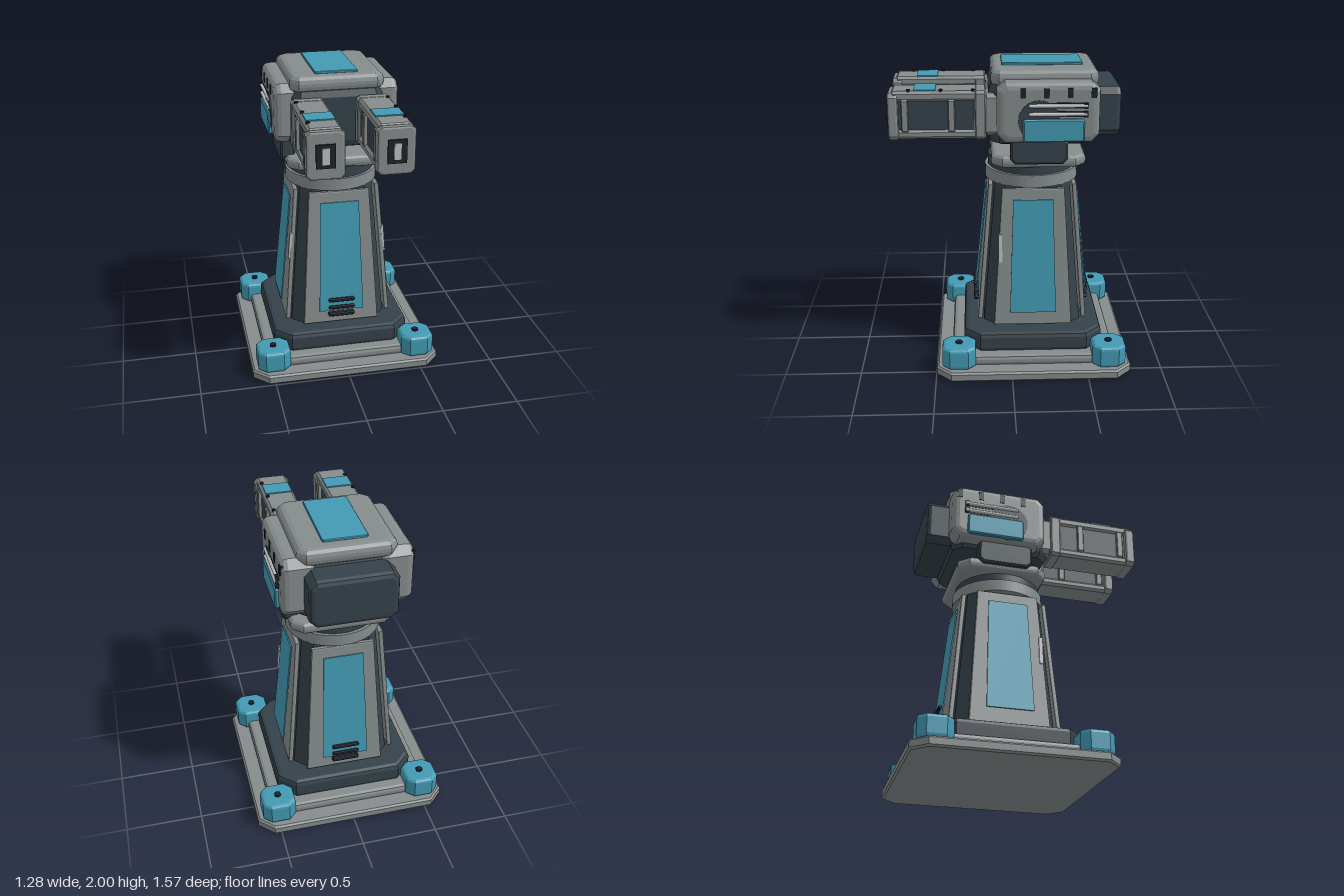
import * as THREE from 'three';

const material = (name, color) => {
  const m = new THREE.MeshStandardMaterial({ color });
  m.name = name;
  return m;
};

export function createModel() {
  const grey = material('armourGrey', 0x868c8c);
  const dark = material('darkSlate', 0x35424a);
  const blue = material('panelBlue', 0x429ab3);
  const black = material('ventBlack', 0x1e2129);
  const light = material('lightMetal', 0xbcbec0);
  const model = new THREE.Group();
  const CZ = -0.145; // centre of base and tower

  const add = (name, geo, mat, parent = model) => {
    const mesh = new THREE.Mesh(geo, mat);
    mesh.name = name;
    parent.add(mesh);
    return mesh;
  };

  // Box between ranges with cut corners around one axis and bevelled ends
  const slab = (name, mat, xr, yr, zr, axis = 'y', corner = 0.02, bevel = 0.01, segs = 1, parent = model) => {
    const size = [xr, yr, zr].map(r => r[1] - r[0]);
    const [u, v, h] = axis === 'y' ? [size[0], size[2], size[1]]
      : axis === 'x' ? [size[2], size[1], size[0]] : size;
    const a = u / 2 - bevel, b = v / 2 - bevel, c = corner;
    const shape = new THREE.Shape([[a, c - b], [a, b - c], [a - c, b], [c - a, b],
      [-a, b - c], [-a, c - b], [c - a, -b], [a - c, -b]].map(p => new THREE.Vector2(...p)));
    const geo = new THREE.ExtrudeGeometry(shape, { depth: h - 2 * bevel, bevelEnabled: bevel > 0,
      bevelSize: bevel, bevelThickness: bevel, bevelSegments: segs });
    geo.center();
    if (axis === 'y') geo.rotateX(-Math.PI / 2);
    if (axis === 'x') geo.rotateY(Math.PI / 2);
    geo.translate(...[xr, yr, zr].map(r => (r[0] + r[1]) / 2));
    return add(name, geo, mat, parent);
  };
  const box = (name, mat, xr, yr, zr, parent = model) => {
    const r = [xr, yr, zr];
    const geo = new THREE.BoxGeometry(...r.map(p => Math.abs(p[1] - p[0])));
    return add(name, geo.translate(...r.map(p => (p[0] + p[1]) / 2)), mat, parent);
  };
  const side = (s, a, b) => s > 0 ? [a, b] : [-b, -a];
  const about = (c, h) => [c - h, c + h];

  // Base plates and plinth
  slab('basePlate', grey, about(0, 0.64), [0, 0.065], about(CZ, 0.64), 'y', 0.09, 0.012);
  slab('baseStep', grey, about(0, 0.54), [0.06, 0.13], about(CZ, 0.54), 'y', 0.06, 0.025, 2);
  slab('plinth', dark, about(0, 0.465), [0.12, 0.255], about(CZ, 0.46), 'y', 0.09, 0.03, 2);

  // Corner feet with hex bolts
  for (const sx of [-1, 1]) for (const sz of [-1, 1]) {
    const x = sx * 0.495, z = CZ + sz * 0.493;
    slab('cornerFoot', blue, about(x, 0.11), [0.065, 0.213], about(z, 0.11), 'y', 0.035, 0.025, 3);
    add('footBolt', new THREE.CylinderGeometry(0.023, 0.023, 0.02, 6).translate(x, 0.216, z), black);
  }

  // Tapered tower core
  const core = slab('towerCore', dark, about(0, 0.325), [0.25, 1.23], about(0, 0.325), 'y', 0.085, 0);
  const p = core.geometry.attributes.position;
  for (let i = 0; i < p.count; i++) {
    const k = 1 - 0.25 * (p.getY(i) - 0.25) / 0.98;
    p.setX(i, p.getX(i) * k);
    p.setZ(i, p.getZ(i) * k);
  }
  core.geometry.computeVertexNormals();
  core.position.z = CZ;

  // Leaning panels on the four tower faces
  const trapezoid = (bottom, top, h, depth, bevel) => new THREE.ExtrudeGeometry(
    new THREE.Shape([[-bottom, 0], [bottom, 0], [top, h], [-top, h]].map(q => new THREE.Vector2(...q))),
    { depth, bevelEnabled: bevel > 0, bevelSize: bevel, bevelThickness: bevel, bevelSegments: 2 });
  for (let i = 0; i < 4; i++) {
    const face = new THREE.Group();
    face.name = 'towerFace';
    face.position.z = CZ;
    face.rotation.y = i * Math.PI / 2;
    model.add(face);
    const panel = add('towerPanel', trapezoid(0.25, 0.195, 0.925, 0.014, 0.009), grey, face);
    panel.position.set(0, 0.28, 0.343);
    panel.rotation.x = -0.082;
    const inlay = add('towerInlay', trapezoid(0.152, 0.13, 0.772, 0.008, 0), blue, face);
    inlay.position.set(0, 0.37, 0.376);
    inlay.rotation.x = -0.101;
    if (i % 2 === 0) for (const y of [0.34, 0.395, 0.45])
      slab('towerVent', black, about(0, 0.09), about(y, 0.012), [0.36, 0.394], 'z', 0.006, 0.003, 1, face);
  }
  for (const s of [-1, 1]) {
    const strip = add('towerHandle', new THREE.BoxGeometry(0.018, 0.19, 0.025), light);
    strip.position.set(s * 0.322, 0.81, 0.07);
    strip.rotation.z = s * 0.082;
  }

  // Turntable
  add('collar', new THREE.CylinderGeometry(0.308, 0.308, 0.08, 40).translate(0, 1.265, CZ), grey);
  add('bearing', new THREE.CylinderGeometry(0.288, 0.288, 0.075, 40).translate(0, 1.34, CZ), dark);
  slab('turntable', grey, about(0, 0.33), [1.36, 1.44], [-0.48, 0.125], 'y', 0.05, 0.033, 3);

  // Head: dark core, top shell and rear box
  slab('headCore', dark, about(0, 0.31), [1.5, 1.91], [-0.53, 0.14], 'y', 0.03, 0.06, 2);
  slab('topShell', grey, about(0, 0.305), [1.875, 1.985], [-0.55, 0.125], 'y', 0.025, 0.045, 3);
  slab('topInlay', blue, about(0, 0.14), [1.983, 2], [-0.46, 0.055], 'y', 0.008, 0.003)
    .name = 'roofPanel';
  slab('rearBox', dark, about(0, 0.272), [1.55, 1.865], [-0.7, -0.5], 'z', 0.025, 0.03, 2);

  for (const s of [-1, 1]) {
    // Yoke and side armour
    slab('yokeArm', dark, side(s, 0.265, 0.36), [1.395, 1.57], [-0.357, 0.005], 'x', 0.025, 0.012);
    slab('sideShell', grey, side(s, 0.2, 0.405), [1.545, 1.93], [-0.55, 0.09], 'x', 0.025, 0.045, 3);
    const disc = add('pivotDisc', new THREE.CylinderGeometry(0.13, 0.13, 0.02, 32), dark);
    disc.rotation.z = Math.PI / 2;
    disc.position.set(s * 0.402, 1.69, -0.17);
    slab('sideGuard', blue, side(s, 0.395, 0.428), [1.56, 1.705], [-0.45, -0.07], 'x', 0.008, 0.008);
    for (const y of [1.735, 1.788]) {
      add('sideRail', new THREE.CylinderGeometry(0.012, 0.012, 0.36, 12)
        .rotateX(Math.PI / 2).translate(s * 0.414, y, -0.285), light);
      box('railClamp', black, side(s, 0.395, 0.423), about(y, 0.018), [-0.47, -0.445]);
      box('railBacking', black, side(s, 0.4, 0.408), about(y, 0.018), [-0.46, -0.1]);
    }
    for (const z of [-0.07, -0.215, -0.36, -0.505])
      box('sideVent', black, side(s, 0.37, 0.409), [1.835, 1.895], about(z, 0.017));

    // Twin barrel housing
    slab('barrelMount', grey, side(s, 0.12, 0.3), [1.57, 1.84], [0.08, 0.24], 'z', 0.02, 0.01);
    box('barrelCore', dark, side(s, 0.125, 0.298), [1.58, 1.83], [0.15, 0.74]);
    for (const [y0, y1] of [[1.795, 1.86], [1.555, 1.615]])
      slab('barrelRail', grey, side(s, 0.107, 0.312), [y0, y1], [0.155, 0.74], 'z', 0.012, 0.008);
    slab('barrelCollar', grey, side(s, 0.103, 0.318), [1.55, 1.862], [0.155, 0.225], 'z', 0.015, 0.008);
    for (const z of [0.37, 0.66])
      slab('barrelRib', grey, side(s, 0.1, 0.322), [1.6, 1.81], about(z, 0.021), 'z', 0.008, 0.004);
    slab('muzzleCap', grey, side(s, 0.093, 0.327), [1.55, 1.85], [0.7, 0.767], 'z', 0.018, 0.015, 2);
    box('muzzleFrame', black, side(s, 0.153, 0.27), [1.625, 1.772], [0.76, 0.776]);
    box('muzzleSlot', light, side(s, 0.191, 0.233), [1.65, 1.75], [0.774, 0.781]);
    box('barrelInlay', blue, side(s, 0.12, 0.295), [1.858, 1.867], [0.468, 0.604]);
    for (const z of [0.235, 0.435, 0.635])
      add('barrelBolt', new THREE.CylinderGeometry(0.012, 0.012, 0.016, 8)
        .translate(s * 0.29, 1.862, z), black);
  }
  return model;
}
